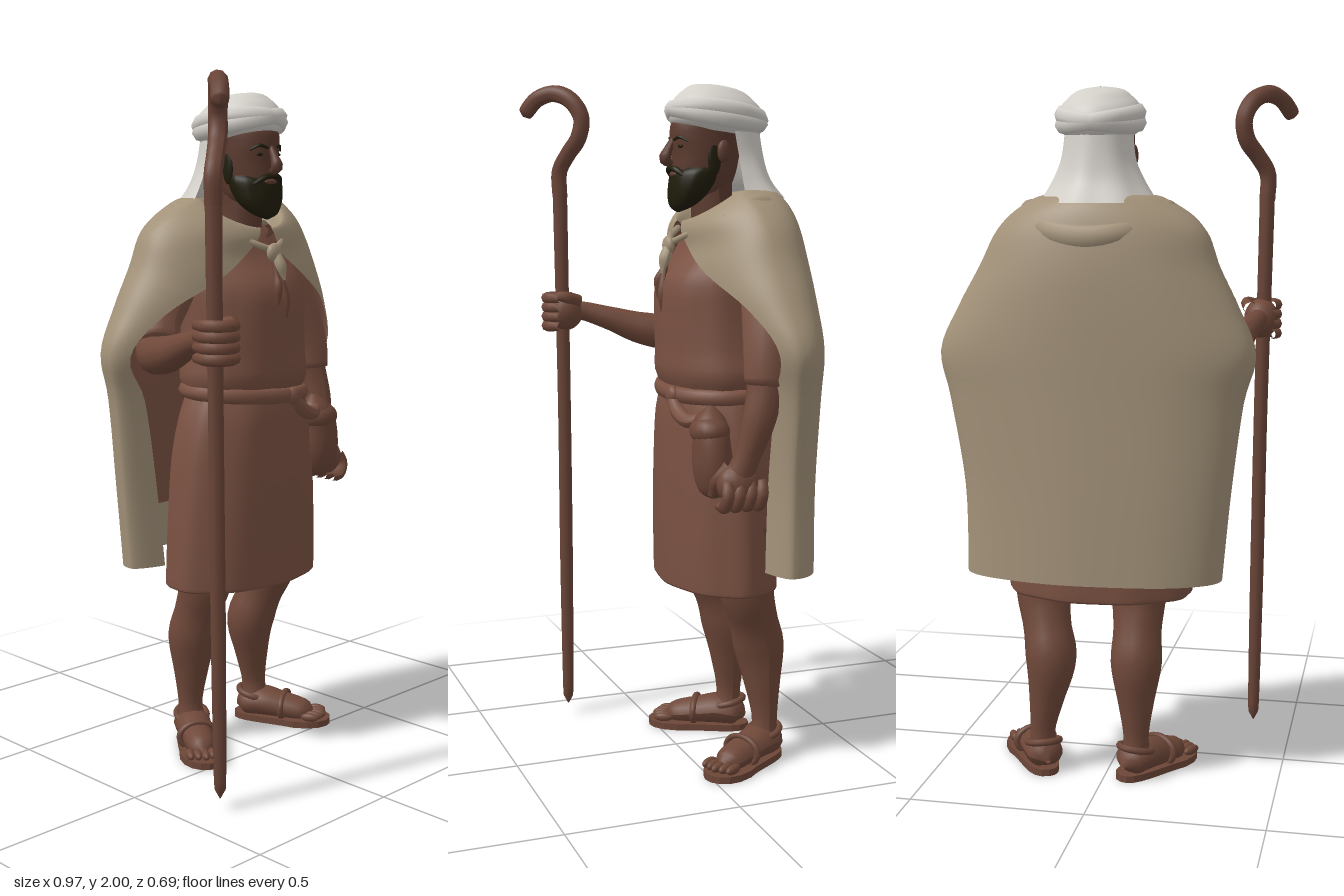
import * as THREE from 'three';

const paint = (name, color, side = THREE.FrontSide) => {
  const m = new THREE.MeshStandardMaterial({ color, side });
  m.name = name;
  return m;
};

// Smooth interpolation through rows of numbers, u in 0..1
function sample(rows, u) {
  const f = Math.min(u, 1) * (rows.length - 1), i = Math.min(Math.floor(f), rows.length - 2), t = f - i;
  const at = k => rows[Math.max(0, Math.min(rows.length - 1, k))];
  return rows[0].map((_, k) => {
    const a = at(i - 1)[k], b = at(i)[k], c = at(i + 1)[k], d = at(i + 2)[k];
    return b + 0.5 * t * (c - a + t * (2 * a - 5 * b + 4 * c - d + t * (3 * (b - c) + d - a)));
  });
}

// Grid surface from a rule fn(u, v); optionally closed around v
function surface(n, m, closed, fn) {
  const pos = [], idx = [], w = closed ? m : m + 1;
  for (let i = 0; i <= n; i++) for (let j = 0; j < w; j++) pos.push(...fn(i / n, j / m));
  for (let i = 0; i < n; i++) for (let j = 0; j < m; j++) {
    const k = (j + 1) % w, a = i * w + j, b = i * w + k, c = a + w, d = b + w;
    idx.push(a, b, d, a, d, c);
  }
  const g = new THREE.BufferGeometry();
  g.setAttribute('position', new THREE.Float32BufferAttribute(pos, 3));
  g.setIndex(idx);
  g.computeVertexNormals();
  return g;
}

// Elliptical cross-sections [y, cx, cz, rx, rz] listed from bottom to top
function loft(rows, fold = 0, folds = 9, n = 20, m = 36) {
  return surface(n, m, true, (u, v) => {
    const [y, cx, cz, rx, rz] = sample(rows, u), a = v * Math.PI * 2;
    const k = 1 + fold * Math.sin(a * folds + 0.7 * Math.sin(u * 4));
    return [cx + rx * k * Math.sin(a), y, cz + rz * k * Math.cos(a)];
  });
}

// Tapered tube through points [x, y, z, radius]
function limb(pts, n = 20, seg = 12) {
  const curve = new THREE.CatmullRomCurve3(pts.map(p => new THREE.Vector3(p[0], p[1], p[2])));
  const g = new THREE.TubeGeometry(curve, n, 1, seg), p = g.attributes.position, v = new THREE.Vector3();
  const radii = pts.map(q => [q[3]]);
  for (let i = 0; i <= n; i++) {
    const c = curve.getPointAt(i / n), r = Math.max(0.001, sample(radii, curve.getUtoTmapping(i / n))[0]);
    for (let j = 0; j <= seg; j++) {
      const k = i * (seg + 1) + j;
      v.fromBufferAttribute(p, k).sub(c).multiplyScalar(r).add(c);
      p.setXYZ(k, v.x, v.y, v.z);
    }
  }
  g.computeVertexNormals();
  return g;
}

const ball = (x, y, z, rx, ry, rz) => new THREE.SphereGeometry(1, 18, 12).scale(rx, ry, rz).translate(x, y, z);
const ring = (x, y, z, rx, rz, tube, tiltX = 0, tiltZ = 0) => new THREE.TorusGeometry(1, tube / rx, 8, 36)
  .rotateX(Math.PI / 2).scale(rx, rx, rz).rotateX(tiltX).rotateZ(tiltZ).translate(x, y, z);

export function createModel() {
  const root = new THREE.Group();
  const cloth = paint('brown cloth', 0x7a5142), skin = paint('skin', 0x6f4839), face = paint('face skin', 0x5c3b2f);
  const wood = paint('staff wood', 0x694437), wool = paint('beige wool', 0xa39279), white = paint('white cloth', 0xd3cfc9, THREE.DoubleSide);
  const hair = paint('dark hair', 0x1f1c0a), leather = paint('leather', 0x6c4638);
  const lining = paint('cape lining', 0x7a5142, THREE.BackSide), hemLining = paint('hem lining', 0xa39279, THREE.BackSide);
  const add = (name, geo, mat, parent = root) => {
    const m = new THREE.Mesh(geo, mat);
    m.name = name;
    parent.add(m);
    return m;
  };

  // Tunic and skirt
  add('tunic', loft([[1.09, .04, -.1, .19, .13], [1.15, .04, -.1, .218, .16], [1.22, .038, -.1, .208, .162], [1.32, .035, -.1, .203, .165],
    [1.42, .035, -.11, .205, .168], [1.5, .035, -.13, .195, .13], [1.57, .03, -.13, .13, .1], [1.61, .03, -.12, .06, .06]], .012, 11), cloth);
  add('skirt', loft([[.6, .037, -.11, .002, .002], [.59, .037, -.11, .22, .12], [.535, .037, -.11, .255, .155], [.53, .037, -.11, .268, .163],
    [.56, .037, -.11, .271, .166], [.75, .037, -.107, .262, .167], [.92, .037, -.105, .248, .164], [1.04, .038, -.1, .225, .155],
    [1.12, .04, -.1, .195, .14]], .014, 9, 32, 54), cloth);

  // Belt, hanging strap and pouch
  add('belt', ring(.04, 1.105, -.1, .2, .147, .024, .04, -.05), cloth);
  add('beltKnot', ball(.1, 1.095, .05, .03, .028, .018), cloth);
  add('beltStrap', limb([[.09, 1.1, .05, .015], [.14, 1.05, .046, .022], [.2, 1.03, .035, .02], [.25, 1.05, 0, .015]]), cloth);
  add('pouch', loft([[.82, .275, -.01, .008, .008], [.84, .275, -.01, .045, .04], [.9, .272, -.008, .066, .055], [.98, .268, -.005, .063, .052],
    [1.04, .255, -.005, .05, .045], [1.08, .25, -.01, .008, .008]]), leather);
  add('pouchFlap', ball(.262, 1.01, -.002, .066, .045, .056), leather);

  // Legs and sandals: [name, hem x, calf x, ankle x, turn]
  for (const [name, hx, kx, ax, turn] of [['right', -.085, -.088, -.09, -.55], ['left', .2, .165, .19, .5]]) {
    add(name + 'Leg', limb([[hx, .72, -.13, .09], [hx, .52, -.145, .08], [(hx + kx) / 2, .43, -.175, .071], [kx, .34, -.2, .075],
      [(kx + ax) / 2, .22, -.208, .052], [ax, .12, -.21, .037], [ax, .06, -.205, .045]], 26, 16), skin);
    const foot = new THREE.Group();
    foot.name = name + 'Foot';
    foot.position.set(ax, 0, -.205);
    foot.rotation.y = turn;
    root.add(foot);
    const sole = new THREE.Shape();
    sole.moveTo(0, .068);
    sole.bezierCurveTo(.07, .068, .045, -.06, .07, -.145);
    sole.bezierCurveTo(.085, -.285, -.07, -.285, -.066, -.145);
    sole.bezierCurveTo(-.045, -.06, -.06, .068, 0, .068);
    add('sole', new THREE.ExtrudeGeometry(sole, { depth: .02, bevelEnabled: false, curveSegments: 8 }).rotateX(-Math.PI / 2), leather, foot);
    add('footBody', limb([[0, .04, -.058, .006], [0, .05, -.035, .04], [0, .06, .02, .047], [0, .05, .09, .042], [0, .037, .17, .033], [0, .03, .2, .006]]).scale(1.2, 1, 1), skin, foot);
    for (let i = 0; i < 5; i++) add('toe', ball(-.044 + i * .022, .032, .208 - .006 * Math.abs(i - 2), .0125, .014, .03), skin, foot);
    add('ankleStrap', ring(0, .085, -.002, .047, .05, .01, .25), leather, foot);
    add('toeStrap', ring(0, 0, 0, .057, .042, .01, Math.PI / 2).translate(0, .052, .1), leather, foot);
  }

  // Arms with sleeves
  add('rightSleeve', limb([[-.1, 1.47, -.16, .06], [-.19, 1.42, -.16, .072], [-.26, 1.33, -.15, .07], [-.29, 1.26, -.12, .062], [-.3, 1.25, -.11, .03]]), cloth);
  add('rightArm', limb([[-.22, 1.38, -.14, .05], [-.3, 1.245, -.12, .056], [-.335, 1.25, -.02, .052], [-.362, 1.285, .09, .037], [-.385, 1.31, .18, .029], [-.387, 1.31, .23, .03]]), skin);
  add('leftSleeve', limb([[.18, 1.47, -.16, .06], [.27, 1.42, -.16, .07], [.325, 1.31, -.145, .07], [.355, 1.2, -.13, .063], [.36, 1.13, -.125, .055], [.36, 1.13, -.12, .02]]), cloth);
  add('leftArm', limb([[.34, 1.26, -.13, .052], [.36, 1.14, -.125, .05], [.368, 1.05, -.105, .047], [.36, .95, -.075, .037], [.348, .89, -.055, .04]]), skin);

  // Hands
  add('rightPalm', ball(-.39, 1.308, .225, .052, .06, .058), skin);
  for (let i = 0; i < 4; i++) {
    const y = 1.263 + i * .029;
    add('rightFinger', limb([[-.425, y, .19, .014], [-.436, y, .235, .017], [-.415, y, .276, .017], [-.375, y, .28, .017], [-.347, y, .255, .013]], 12, 8), skin);
  }
  add('rightThumb', limb([[-.36, 1.34, .19, .02], [-.345, 1.355, .24, .017], [-.37, 1.355, .275, .01]], 10, 8), skin);
  add('leftPalm', ball(.345, .87, -.055, .048, .06, .064), skin);
  for (let i = 0; i < 4; i++) {
    const z = -.115 + i * .034;
    add('leftFinger', limb([[.37, .88, z, .016], [.385, .845, z + .004, .018], [.365, .81, z + .008, .018], [.33, .808, z + .01, .012]], 10, 8), skin);
  }
  add('leftThumb', limb([[.34, .92, -.03, .02], [.32, .88, .005, .018], [.305, .835, .01, .01]], 10, 8), skin);

  // Cape: open sweep around the body [backY, frontY, rightX, leftX, cz, backDepth, frontDepth, openingAngle]
  const rows = [[1.61, 1.56, -.08, .145, -.12, .12, .1, 170], [1.675, 1.59, -.12, .18, -.12, .15, .12, 172], [1.645, 1.56, -.2, .255, -.13, .175, .14, 171],
    [1.58, 1.51, -.275, .32, -.15, .178, .155, 165], [1.48, 1.44, -.315, .37, -.16, .183, .175, 149], [1.37, 1.34, -.37, .43, -.17, .178, .17, 125],
    [1.24, 1.22, -.42, .485, -.18, .168, .12, 114], [1.1, 1.1, -.388, .455, -.19, .157, .08, 124], [.85, .85, -.358, .412, -.2, .147, .07, 130],
    [.6, .6, -.335, .408, -.2, .147, .07, 132]];
  const cape = surface(45, 64, false, (u, v) => {
    const [yb, yf, xr, xl, cz, rb, rf, open] = sample(rows, u);
    const t = (v * 2 - 1) * open * Math.PI / 180, c = Math.cos(t);
    const k = 1 + .012 * Math.sin(t * 7) * u, rx = (xl - xr) / 2;
    const z = c > 0 ? cz - rb * k * Math.pow(c, .85) : cz - rf * c;
    return [(xl + xr) / 2 + rx * Math.sin(t), yb + (yf - yb) * Math.max(0, -c), z];
  });
  add('cape', cape, wool);
  // Inside of the cape, with a hem band in the outer colour
  const inside = cape.clone(), band = 42 * 64 * 6;
  inside.addGroup(0, band, 0);
  inside.addGroup(band, Infinity, 1);
  add('capeLining', inside, [lining, hemLining]);
  // Folded hood lying over the upper back
  add('hoodFold', limb([[-.15, 1.6, -.06, .01], [-.165, 1.635, -.15, .03], [-.1, 1.585, -.265, .04], [.03, 1.56, -.298, .045], [.16, 1.585, -.265, .04],
    [.225, 1.635, -.15, .03], [.21, 1.6, -.06, .01]], 36, 12), wool);

  // Clasp, cord and tassels
  add('neckCord', limb([[-.06, 1.57, -.03, .009], [-.02, 1.545, .01, .009], [.03, 1.53, .025, .01], [.08, 1.545, .01, .009], [.12, 1.57, -.03, .009]], 24, 8), wool);
  add('clasp', ball(.03, 1.52, .035, .028, .028, .016), wool);
  add('claspTail', limb([[.035, 1.52, .035, .014], [.04, 1.48, .05, .018], [.045, 1.44, .06, .005]], 10, 8), wool);
  for (const [x, y] of [[.018, 1.37], [.05, 1.33]])
    add('tassel', limb([[.03, 1.51, .03, .007], [(x + .03) / 2, 1.45, .05, .009], [x, y + .05, .062, .013], [x, y, .062, .005]], 14, 8), leather);

  // Head
  add('neck', limb([[.03, 1.54, -.12, .075], [.03, 1.63, -.1, .062], [.03, 1.75, -.1, .06]]), face);
  add('head', loft([[1.65, .03, -.06, .035, .05], [1.68, .03, -.068, .064, .08], [1.73, .03, -.075, .077, .095], [1.78, .03, -.08, .084, .1],
    [1.83, .03, -.085, .087, .112], [1.88, .03, -.095, .085, .11], [1.92, .03, -.1, .04, .05]]), face);
  add('nose', limb([[.03, 1.825, .018, .008], [.03, 1.79, .036, .013], [.03, 1.765, .044, .018], [.03, 1.75, .025, .01]], 12, 10), face);
  add('beard', loft([[1.615, .03, .005, .004, .004], [1.63, .03, -.004, .042, .03], [1.66, .03, -.022, .07, .053], [1.695, .032, -.038, .083, .067],
    [1.725, .032, -.048, .086, .07], [1.74, .032, -.055, .08, .06]], .015, 12), hair);
  add('moustache', limb([[-.025, 1.715, .004, .006], [0, 1.734, .022, .009], [.03, 1.739, .028, .008], [.06, 1.734, .022, .009], [.085, 1.715, .004, .006]], 20, 8), hair);
  add('lips', ball(.03, 1.722, .018, .026, .009, .01), face);
  for (const s of [-1, 1]) {
    add('eyebrow', limb([[.03 + s * .016, 1.818, .024, .004], [.03 + s * .04, 1.825, .015, .005], [.03 + s * .063, 1.812, -.003, .003]], 10, 6), hair);
    add('eye', ball(.03 + s * .036, 1.8, .011, .012, .005, .007), hair);
    add('sideburn', ball(.03 + s * .08, 1.765, -.075, .008, .05, .02), hair);
    add('ear', ball(.03 + s * .09, 1.785, -.1, .012, .032, .02), face);
  }

  // Head wrap, tilted back, with wound folds
  const wrap = new THREE.Group();
  wrap.name = 'headWrap';
  wrap.position.set(.033, 1.888, -.112);
  wrap.rotation.x = -.13;
  root.add(wrap);
  add('wrapCrown', loft([[-.05, 0, 0, .09, .105], [-.035, 0, 0, .108, .134], [0, 0, 0, .124, .144], [.035, 0, 0, .11, .128],
    [.057, 0, .004, .09, .105], [.078, 0, .008, .06, .072], [.087, 0, .01, .002, .002]]), white, wrap);
  for (const s of [-1, 1]) add('wrapFold', ring(0, 0, 0, .1, .12, .029, 0, s * .13), white, wrap);
  // Neck cloth spreading over the collar
  add('neckCloth', surface(16, 32, false, (u, v) => {
    const [y, z, rx, rz] = sample([[1.88, -.12, .095, .115], [1.78, -.135, .105, .115], [1.71, -.135, .135, .135], [1.655, -.13, .17, .182]], u);
    const t = (v * 2 - 1) * 1.55, k = 1 + .03 * u * Math.sin(t * 8);
    return [.033 + rx * k * Math.sin(t), y, z - rz * k * Math.cos(t)];
  }), white);

  // Crook staff
  add('staff', limb([[-.384, .033, .23, .001], [-.384, .045, .23, .012], [-.384, .07, .23, .017], [-.388, .5, .23, .021], [-.392, 1, .23, .021],
    [-.398, 1.4, .232, .022], [-.402, 1.68, .234, .023]], 60, 10), wood);
  add('crook', limb([[-.402, 1.66, .234, .024], [-.402, 1.74, .234, .025], [-.375, 1.79, .215, .025], [-.343, 1.84, .19, .026], [-.336, 1.9, .183, .026],
    [-.36, 1.953, .21, .026], [-.4, 1.974, .25, .026], [-.437, 1.957, .295, .025], [-.465, 1.915, .325, .022], [-.47, 1.908, .33, .002]], 50, 10), wood);
  return root;
}
